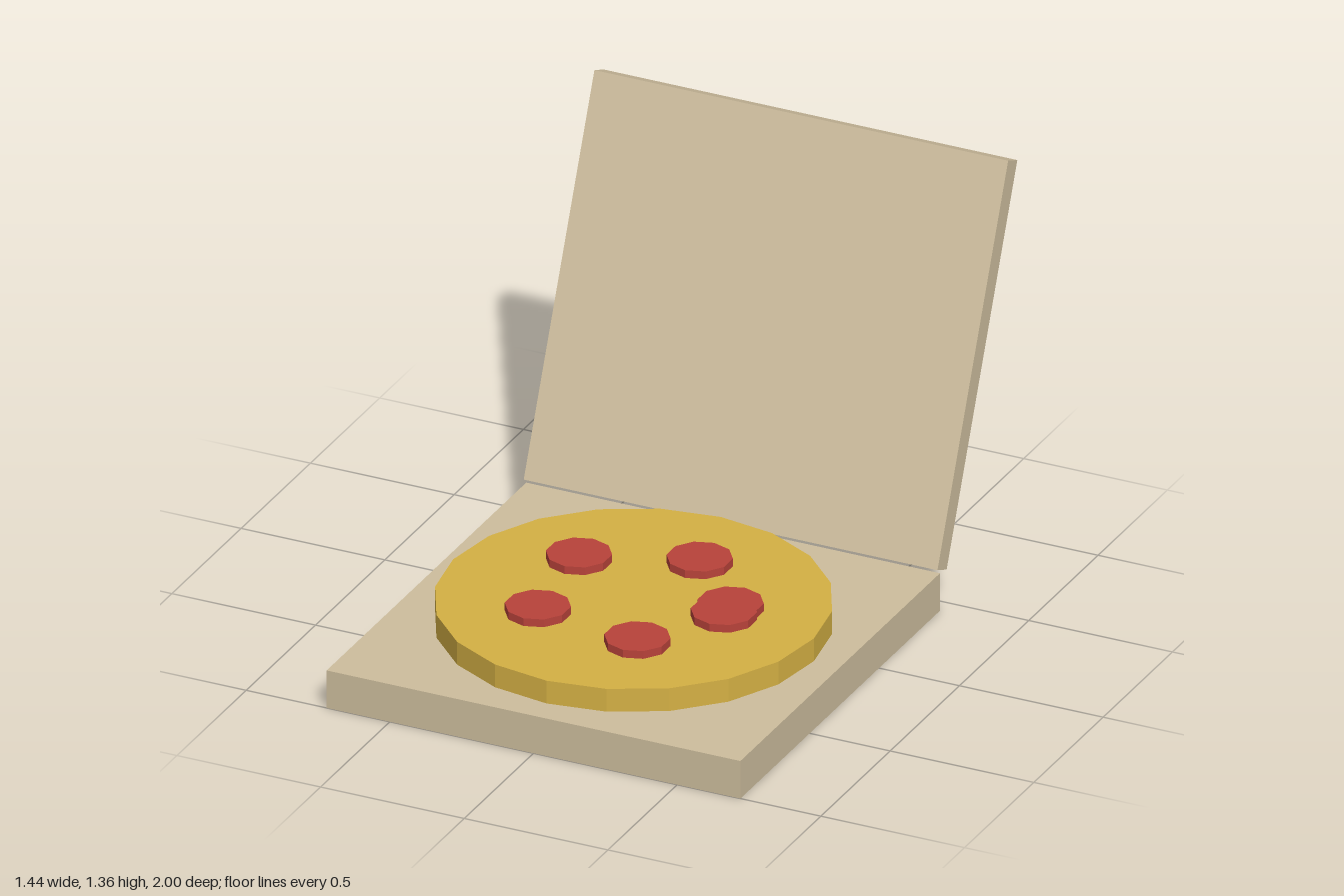
import * as THREE from 'three';

export function createModel() {
  const group = new THREE.Group();
  const material = (name, color) => {
    const m = new THREE.MeshStandardMaterial({ color, flatShading: true });
    m.name = name;
    return m;
  };
  const cardboard = material('cardboard', 0xcdbd9d);
  const cheese = material('cheese', 0xd4b044);
  const meat = material('pepperoni red', 0xb8423a);

  const add = (name, geometry, mat, x, y, z) => {
    const mesh = new THREE.Mesh(geometry, mat);
    mesh.name = name;
    mesh.position.set(x, y, z);
    group.add(mesh);
    return mesh;
  };

  // Box tray and the lid leaning back behind it
  add('boxBase', new THREE.BoxGeometry(1.44, 0.132, 1.44), cardboard, 0, 0.066, 0.28);
  const lid = add('boxLid', new THREE.BoxGeometry(1.44, 1.31, 0.072), cardboard, 0, 0.74, -0.71);
  lid.rotation.x = -0.4;

  // Pizza disc
  add('pizza', new THREE.CylinderGeometry(0.628, 0.628, 0.08, 20), cheese, 0, 0.172, 0.278);

  // Pepperoni slices, two of them overlapping
  const slice = new THREE.CylinderGeometry(0.105, 0.105, 0.028, 10);
  const spots = [[-0.27, 0.112], [0.083, -0.027], [0.305, 0.21], [0.312, 0.273], [-0.23, 0.492], [0.146, 0.553]];
  spots.forEach(([x, z], i) => add(`pepperoni${i + 1}`, slice, meat, x, 0.225, z));

  return group;
}
